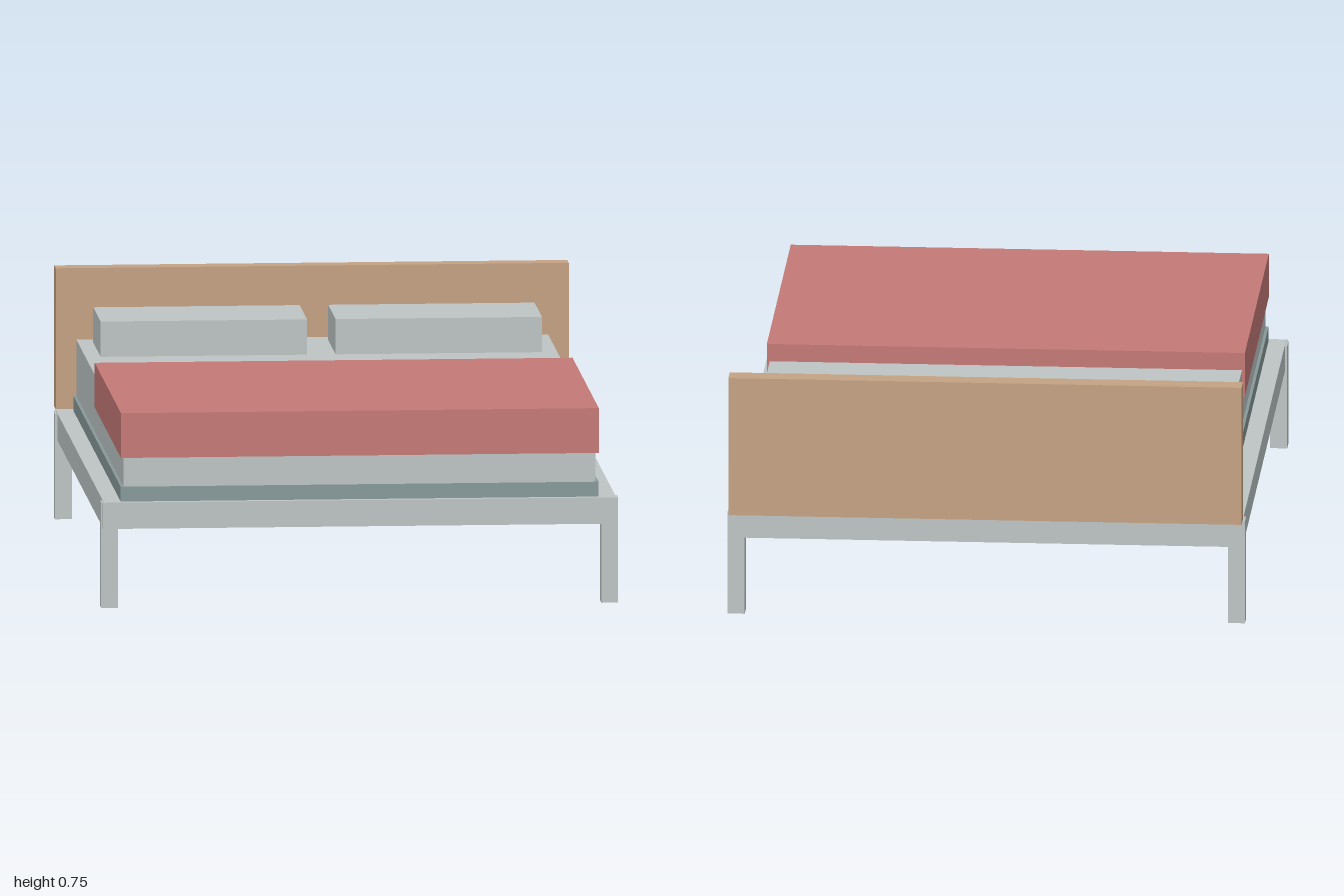
import * as THREE from 'three';

const material = (name, color) => {
  const m = new THREE.MeshStandardMaterial({ color });
  m.name = name;
  return m;
};

export function createModel() {
  const bed = new THREE.Group();
  bed.name = 'bed';

  const paleGrey = material('pale grey', 0xbec5c5);
  const greyGreen = material('grey green', 0x889999);
  const red = material('dusty red', 0xc47a77);
  const wood = material('light wood', 0xc4a282);

  // Box given by its lower and upper limits on each axis
  const block = (name, mat, [x0, x1], [y0, y1], [z0, z1]) => {
    const mesh = new THREE.Mesh(new THREE.BoxGeometry(x1 - x0, y1 - y0, z1 - z0), mat);
    mesh.position.set((x0 + x1) / 2, (y0 + y1) / 2, (z0 + z1) / 2);
    mesh.name = name;
    bed.add(mesh);
  };

  // Frame: platform with a thin rail across each end
  block('platform', paleGrey, [-0.772, 0.772], [0.24, 0.322], [-0.94, 0.985]);
  block('footRail', paleGrey, [-0.775, 0.775], [0.243, 0.322], [0.985, 1]);
  block('headRail', paleGrey, [-0.775, 0.775], [0.243, 0.322], [-0.955, -0.94]);

  // Legs, standing slightly proud of the sides, and pillows
  for (const [side, s] of [['left', 1], ['right', -1]]) {
    const span = (a, b) => (s > 0 ? [a, b] : [-b, -a]);
    block(side + 'FrontLeg', paleGrey, span(0.728, 0.779), [0, 0.32], [0.934, 0.984]);
    block(side + 'BackLeg', paleGrey, span(0.728, 0.779), [0, 0.32], [-0.939, -0.889]);
    block(side + 'Pillow', paleGrey, span(0.043, 0.665), [0.535, 0.645], [-0.872, -0.57]);
  }

  // Headboard and bedding
  block('headboard', wood, [-0.773, 0.773], [0.326, 0.755], [-1, -0.938]);
  block('mattressBase', greyGreen, [-0.72, 0.72], [0.322, 0.367], [-0.938, 0.979]);
  block('mattress', paleGrey, [-0.711, 0.711], [0.367, 0.538], [-0.938, 0.979]);
  block('blanket', red, [-0.72, 0.72], [0.456, 0.592], [-0.073, 0.99]);

  return bed;
}
